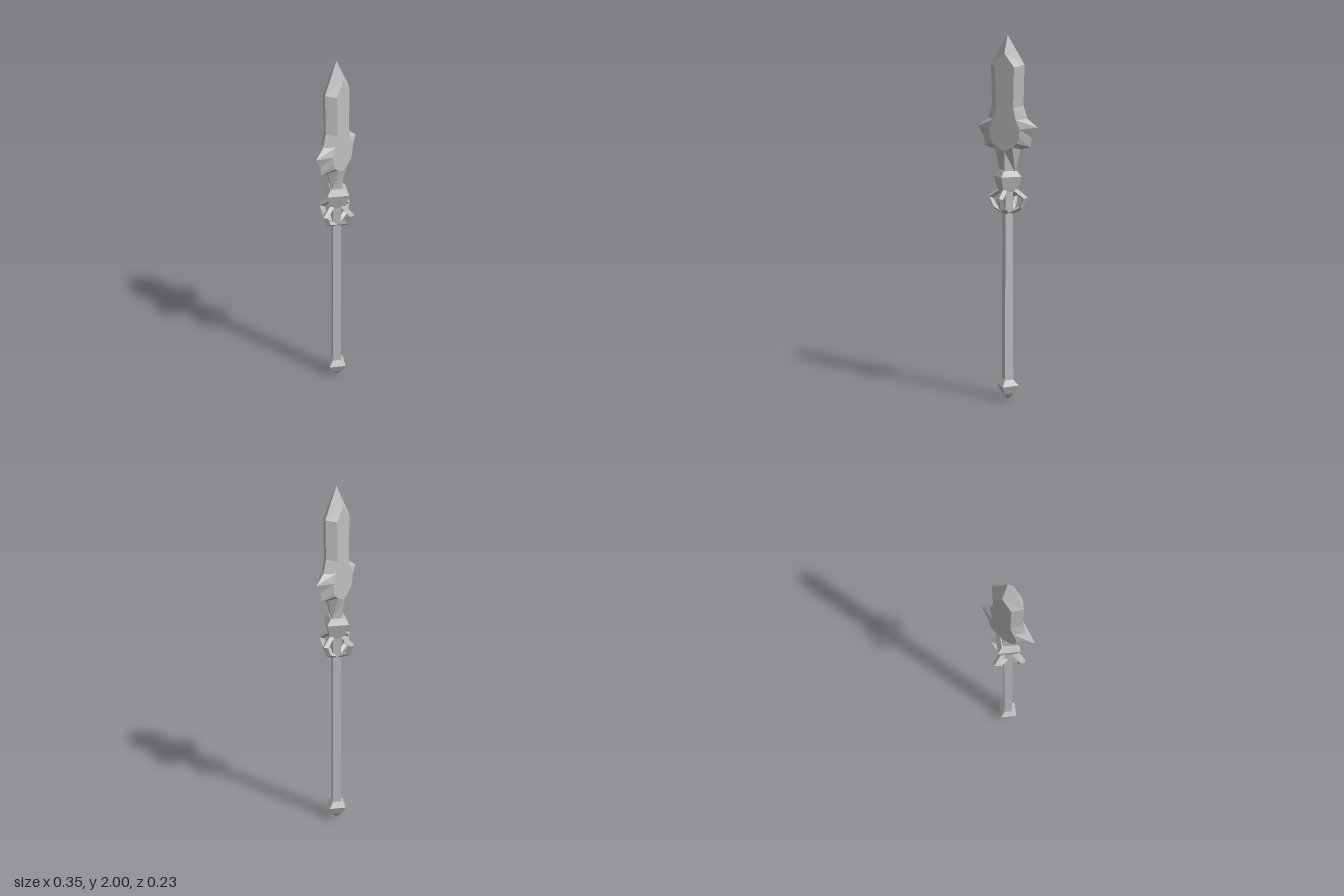
import * as THREE from 'three';

const steel = new THREE.MeshStandardMaterial({ color: 0xc0c0c0, flatShading: true });
steel.name = 'steel';

function part(name, geometry) {
  const mesh = new THREE.Mesh(geometry, steel);
  mesh.name = name;
  return mesh;
}

function fromTriangles(corners) {
  const g = new THREE.BufferGeometry();
  g.setAttribute('position', new THREE.Float32BufferAttribute(corners.flat(), 3));
  g.computeVertexNormals();
  return g;
}

// Four-sided turned part with its corners on the x and z axes
function turned(name, profile) {
  const points = profile.map(([r, y]) => new THREE.Vector2(r, y));
  return part(name, new THREE.LatheGeometry(points, 4).toNonIndexed());
}

// Blade: sharp outer edge at z = 0, bevelled up to a flat face on each side
function bladeGeometry() {
  const edge = [[0, 2], [0.097, 1.845], [0.092, 1.63], [0.115, 1.56], [0.175, 1.515],
    [0.14, 1.46], [0.135, 1.41], [0.075, 1.395], [0.045, 1.27]];
  const face = [[0, 1.905], [0.055, 1.83], [0.05, 1.615], [0.065, 1.555], [0.088, 1.505],
    [0.083, 1.46], [0.072, 1.43], [0.045, 1.41], [0, 1.385]];
  const t = 0.043;
  const out = [];
  for (const sx of [1, -1]) for (const sz of [1, -1]) {
    const tri = (a, b, c) => {
      const order = sx * sz > 0 ? [a, b, c] : [a, c, b];
      order.forEach(([x, y, z]) => out.push([x * sx, y, z * sz]));
    };
    const e = edge.map(([x, y]) => [x, y, 0]);
    const f = face.map(([x, y]) => [x, y, t]);
    for (let i = 0; i < e.length - 1; i++) {
      tri(f[i], f[i + 1], e[i + 1]);
      tri(f[i], e[i + 1], e[i]);
      tri([0, 1.6, t], f[i + 1], f[i]);
    }
    // Ridge of the tang running down into the collar
    tri(f[8], [0, 1.27, 0.04], e[8]);
    tri([0, 1.27, 0], e[8], [0, 1.27, 0.04]);
  }
  return fromTriangles(out);
}

// Prong: diamond section swept along a bent path, pointing to +x
function prongGeometry() {
  const outer = [[0.04, 1.195], [0.117, 1.14], [0.087, 1.073], [0.025, 1.042]];
  const inner = [[0.03, 1.165], [0.084, 1.127], [0.066, 1.09], [0.015, 1.066]];
  const w = 0.017;
  const rings = outer.map(([ox, oy], i) => {
    const [ix, iy] = inner[i];
    const mx = (ox + ix) / 2, my = (oy + iy) / 2;
    return [[ox, oy, 0], [mx, my, w], [ix, iy, 0], [mx, my, -w]];
  });
  const out = [];
  for (let i = 0; i < rings.length - 1; i++) for (let j = 0; j < 4; j++) {
    const k = (j + 1) % 4;
    const a = rings[i][j], b = rings[i][k], c = rings[i + 1][k], d = rings[i + 1][j];
    out.push(a, b, c, a, c, d);
  }
  const [s, e] = [rings[0], rings[rings.length - 1]];
  out.push(s[0], s[2], s[1], s[0], s[3], s[2], e[0], e[1], e[2], e[0], e[2], e[3]);
  return fromTriangles(out);
}

export function createModel() {
  const model = new THREE.Group();
  model.name = 'spear';

  model.add(turned('pommel', [[0, 0], [0.04, 0.04], [0.066, 0.087], [0.035, 0.118], [0, 0.118]]));
  model.add(turned('shaft', [[0, 0.08], [0.034, 0.08], [0.031, 1.2], [0, 1.2]]));
  model.add(turned('collar', [[0, 1.167], [0.056, 1.167], [0.083, 1.25], [0.052, 1.28], [0, 1.28]]));
  model.add(part('blade', bladeGeometry()));

  // Four prongs around the top of the shaft
  const prongs = new THREE.Group();
  prongs.name = 'prongs';
  const geometry = prongGeometry();
  for (let i = 0; i < 4; i++) {
    const prong = part('prong', geometry);
    prong.rotation.y = i * Math.PI / 2;
    prongs.add(prong);
  }
  model.add(prongs);
  return model;
}
